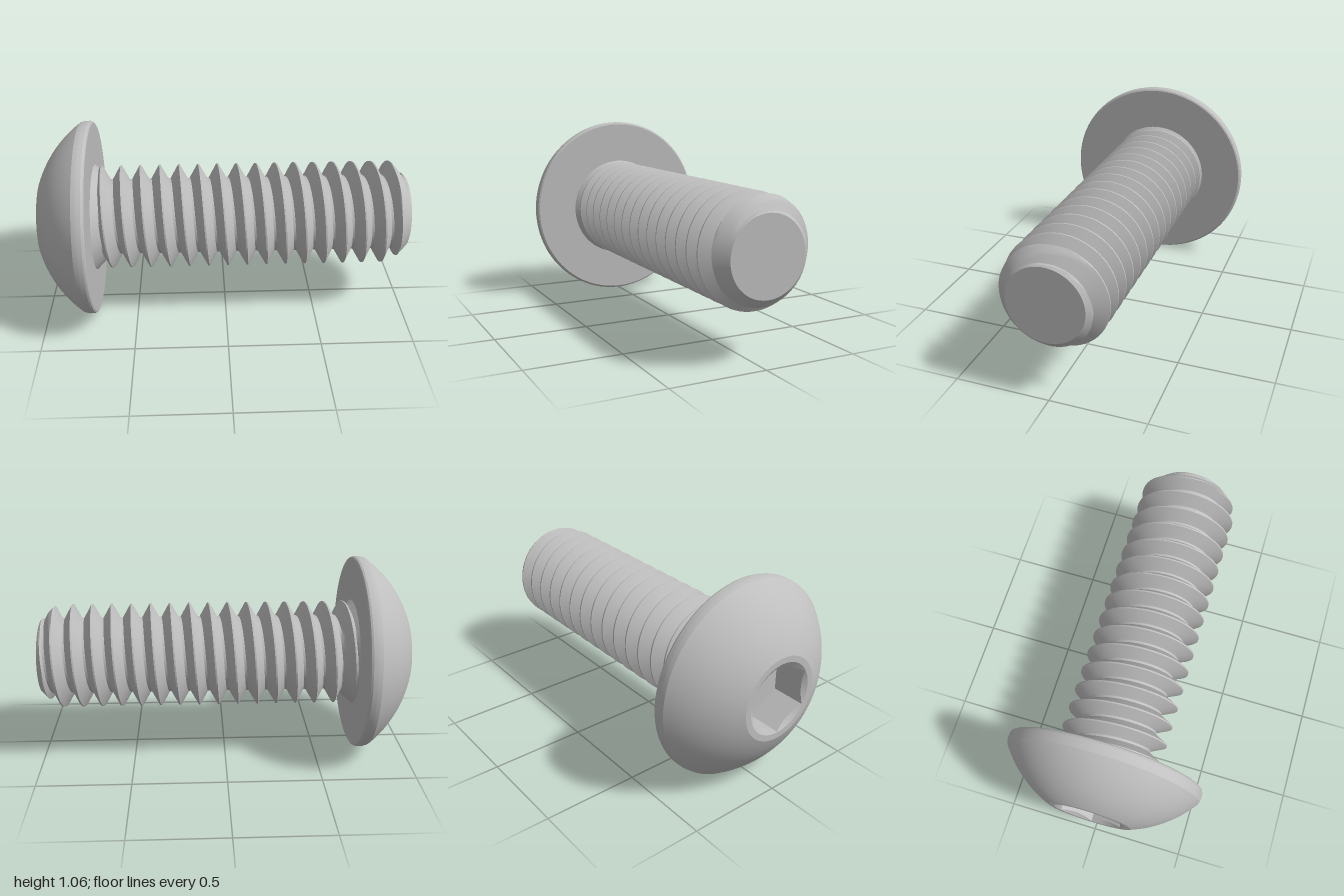
import * as THREE from 'three';
import { toCreasedNormals } from 'three/addons/utils/BufferGeometryUtils.js';

const AXIS_Y = 0.53;      // height of the screw axis
const SEG = 96;           // divisions round the axis
const PITCH = 0.1063;
const CREST_X = 0.0775;   // a thread crest on the top side
const HEAD_X = -0.71;     // underside of the head
const clamp = THREE.MathUtils.clamp;

// Skin of rings round the x axis; point(row, angle) returns [x, radius].
function sweep(rows, point, crease) {
  const at = (i, j) => {
    const a = (j / SEG) * Math.PI * 2;
    const [x, r] = point(i, a);
    return new THREE.Vector3(x, r * Math.cos(a), r * Math.sin(a));
  };
  const out = [];
  const tri = new THREE.Triangle();
  const add = (a, b, c) => {
    if (tri.set(a, b, c).getArea() < 1e-8) return;
    for (const p of [a, b, c]) out.push(p.x, p.y, p.z);
  };
  for (let i = 0; i < rows - 1; i++) {
    for (let j = 0; j < SEG; j++) {
      const a = at(i, j), b = at(i, j + 1), c = at(i + 1, j), d = at(i + 1, j + 1);
      add(a, b, c);
      add(b, d, c);
    }
  }
  const geo = new THREE.BufferGeometry();
  geo.setAttribute('position', new THREE.Float32BufferAttribute(out, 3));
  return toCreasedNormals(geo, crease);
}

// Radius of a hexagon with corners at the top and bottom
function hexRadius(angle) {
  const step = Math.PI / 3;
  const local = ((angle % step) + step) % step - step / 2;
  return 0.162 / Math.cos(local);
}

// Thread radius, with the run-out under the head and the chamfer at the tip
function threadRadius(x, angle) {
  const turn = (x - CREST_X) / PITCH - angle / (Math.PI * 2);
  const d = Math.abs(turn - Math.round(turn)) * PITCH;
  const thread = 0.283 - 0.076 * clamp((d - 0.004) / 0.043, 0, 1);
  return Math.min(Math.max(thread, 0.29 - (x - HEAD_X)), 0.2 + (1 - x));
}

export function createModel() {
  const group = new THREE.Group();
  const steel = new THREE.MeshStandardMaterial({ color: 0xbfbfbf });
  steel.name = 'steel grey';
  const addPart = (name, geo) => {
    const mesh = new THREE.Mesh(geo, steel);
    mesh.name = name;
    mesh.position.y = AXIS_Y;
    group.add(mesh);
  };

  // Domed head: flat ring, spherical dome, rounded rim, underside
  const head = [[-1, 0.19]];
  const R = 0.65, a0 = Math.asin(0.222 / R), a1 = Math.asin(0.524 / R);
  for (let i = 0; i <= 14; i++) {
    const a = a0 + ((a1 - a0) * i) / 14;
    head.push([-1 + R * (Math.cos(a0) - Math.cos(a)), R * Math.sin(a)]);
  }
  head.push([-0.755, 0.529], [-0.745, 0.53], [-0.725, 0.53], [-0.715, 0.526], [HEAD_X, 0.518], [HEAD_X, 0.27]);
  addPart('head', sweep(head.length, (i) => head[i], 0.33));

  // Hexagonal socket: floor, six walls and a conical lead-in
  const floorX = -0.82;
  addPart('hexSocket', sweep(4, (i, a) => {
    const h = hexRadius(a);
    return [[floorX, 0], [floorX, h], [-1 + (0.19 - h) * 0.6, h], [-1, 0.19]][i];
  }, 0.3));

  // Threaded shank: rows follow the helix so the crests stay sharp
  const fractions = [];
  const crest = 0.004 / PITCH, root = 0.047 / PITCH, steps = 8;
  for (let i = 0; i <= steps; i++) fractions.push(crest + ((root - crest) * i) / steps);
  for (let i = 0; i <= steps; i++) fractions.push(1 - root + ((root - crest) * i) / steps);
  const n = fractions.length;
  addPart('threadedShank', sweep(19 * n, (i, a) => {
    const turn = Math.floor(i / n) - 9 + fractions[i % n] + a / (Math.PI * 2);
    const x = clamp(CREST_X + PITCH * turn, HEAD_X, 1);
    return [x, threadRadius(x, a)];
  }, 0.45));

  // Flat end of the shank
  addPart('shankTip', sweep(2, (i) => [1, i ? 0 : 0.2], 0.3));

  return group;
}
